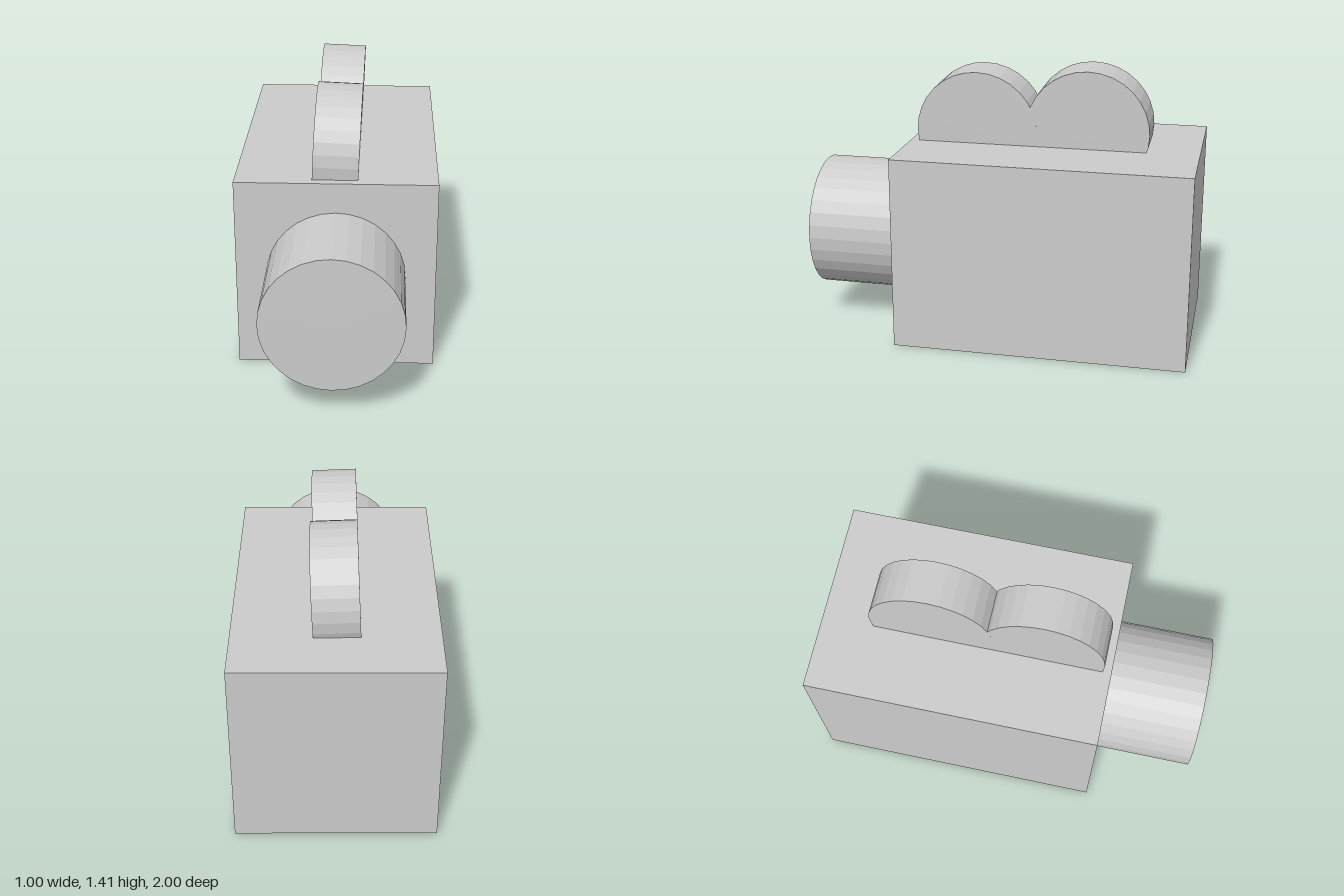
import * as THREE from 'three';

export function createModel() {
  const model = new THREE.Group();
  const material = new THREE.MeshStandardMaterial({ color: 0xcccccc, flatShading: true });

  function add(name, geometry, x, y, z) {
    const mesh = new THREE.Mesh(geometry, material);
    mesh.name = name;
    mesh.position.set(x, y, z);
    model.add(mesh);
    return mesh;
  }

  // Box-shaped camera housing
  add('body', new THREE.BoxGeometry(1, 1, 1.5), 0, 0.5, -0.25);

  // Lens barrel, sunk slightly into the front of the body
  const lens = new THREE.CylinderGeometry(0.347, 0.347, 0.52, 32).rotateX(Math.PI / 2);
  add('lens', lens, 0, 0.498, 0.74);

  // Two film reels, half sunk into the top and leaning slightly to the left
  const reel = new THREE.CylinderGeometry(0.317, 0.317, 0.226, 32).rotateZ(Math.PI / 2);
  add('frontReel', reel, -0.003, 1.064, 0.144).rotation.z = -0.04;
  add('backReel', reel, -0.002, 1.092, -0.43).rotation.z = -0.04;

  return model;
}
